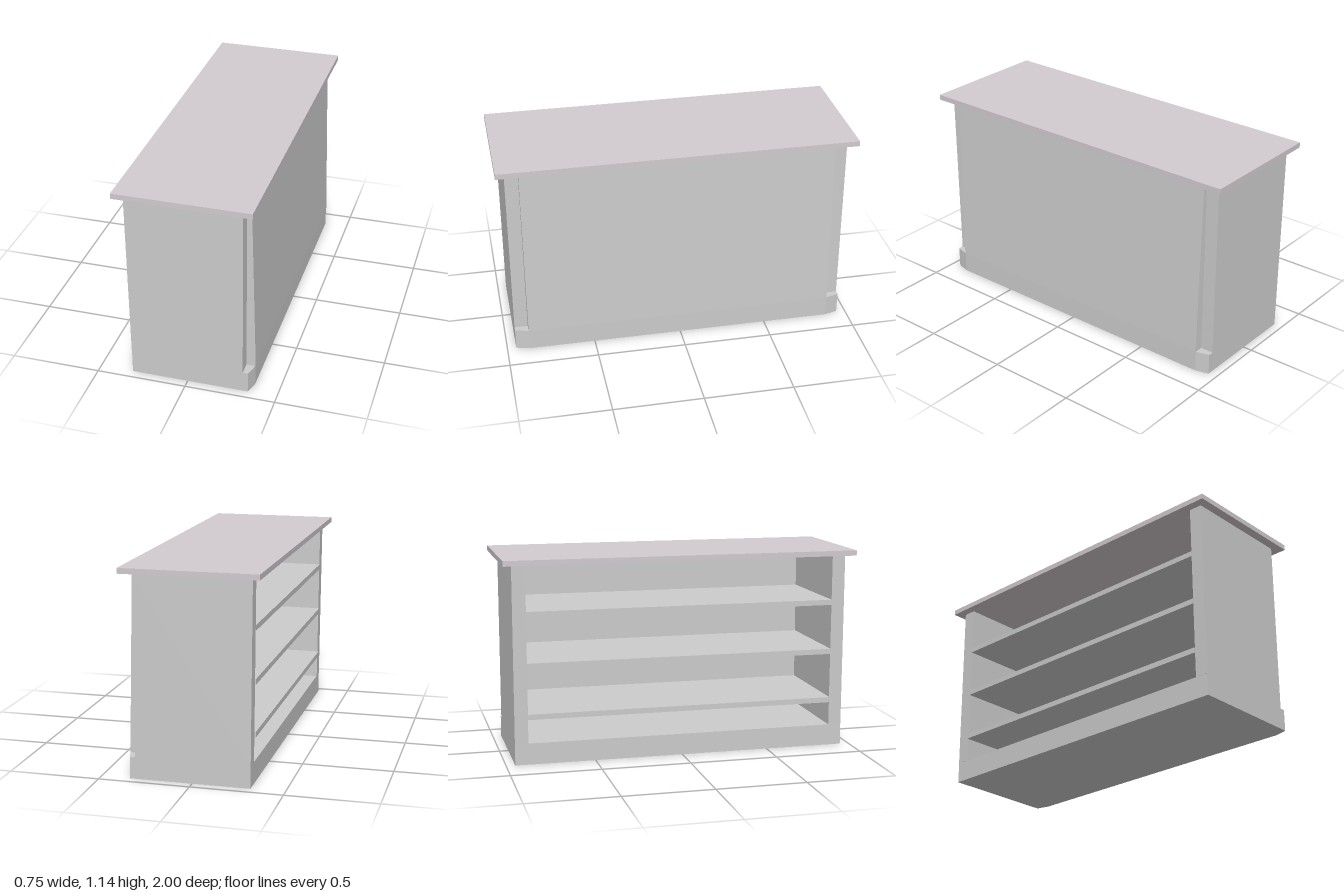
import * as THREE from 'three';

export function createModel() {
  const model = new THREE.Group();
  const grey = new THREE.MeshStandardMaterial({ color: 0xcccccc });
  const topColor = new THREE.MeshStandardMaterial({ color: 0xd2cbcf });

  const add = (name, geometry, material = grey) => {
    const mesh = new THREE.Mesh(geometry, material);
    mesh.name = name;
    model.add(mesh);
    return mesh;
  };
  const box = (name, x0, x1, y0, y1, z0, z1, material) =>
    add(name, new THREE.BoxGeometry(x1 - x0, y1 - y0, z1 - z0), material)
      .position.set((x0 + x1) / 2, (y0 + y1) / 2, (z0 + z1) / 2);
  const extrude = (points, depth) => new THREE.ExtrudeGeometry(
    new THREE.Shape(points.map(([a, b]) => new THREE.Vector2(a, b))),
    { depth, bevelEnabled: false });

  const baseTop = 0.12, bodyTop = 1.11, outer = 0.95, inner = 0.875;

  // Solid plinth with two chamfered corners
  add('plinth', extrude([
    [-0.315, -outer], [0.34, -outer], [0.36, -inner],
    [0.36, inner], [0.34, outer], [-0.315, outer],
  ], baseTop).rotateX(-Math.PI / 2));

  // End walls, leaning slightly outward on the open side
  for (const [name, z] of [['frontEndWall', inner], ['backEndWall', -outer]]) {
    add(name, extrude([
      [-0.316, baseTop], [0.31, baseTop], [0.31, bodyTop], [-0.325, bodyTop],
    ], outer - inner)).position.z = z;
  }

  // Tapered counter panel closing the long side, set in from the ends
  add('counterPanel', extrude([
    [0.29, baseTop], [0.362, baseTop], [0.335, bodyTop], [0.29, bodyTop],
  ], 2 * inner)).position.z = -inner;

  // Shelves on the open side
  for (const y of [0.255, 0.54, 0.825]) {
    box('shelf', -0.325, 0.29, y, y + 0.03, -inner, inner);
  }

  // Overhanging worktop
  box('worktop', -0.373, 0.373, bodyTop, 1.14, -1, 1, topColor);

  return model;
}
